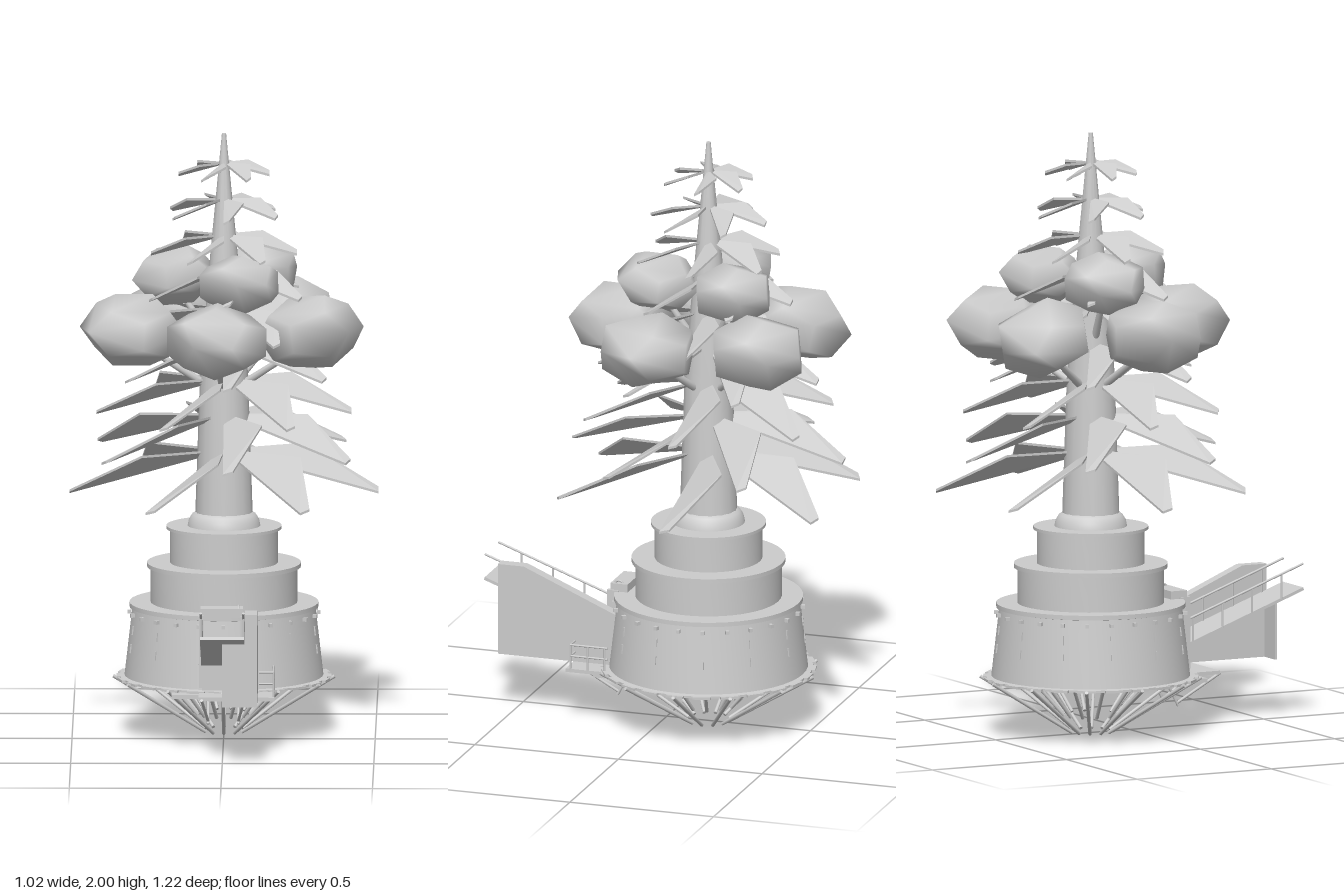
import * as THREE from 'three';
import { toCreasedNormals, mergeVertices } from 'three/addons/utils/BufferGeometryUtils.js';
import { ConvexGeometry } from 'three/addons/geometries/ConvexGeometry.js';

const V = (x, y, z) => new THREE.Vector3(x, y, z);
const rad = THREE.MathUtils.degToRad;

export function createModel() {
  const model = new THREE.Group();
  const grey = new THREE.MeshStandardMaterial({ color: 0xcccccc });
  grey.name = 'stone grey';

  const add = (parent, name, geo, x = 0, y = 0, z = 0) => {
    const m = new THREE.Mesh(geo, grey);
    m.name = name;
    m.position.set(x, y, z);
    parent.add(m);
    return m;
  };
  const box = (parent, name, w, h, d, x, y, z) => add(parent, name, new THREE.BoxGeometry(w, h, d), x, y, z);
  const bar = (parent, name, a, b, r, r2 = r) => {
    const m = add(parent, name, new THREE.CylinderGeometry(r2, r, a.distanceTo(b), 8));
    m.position.copy(a).lerp(b, 0.5);
    m.quaternion.setFromUnitVectors(V(0, 1, 0), b.clone().sub(a).normalize());
    return m;
  };
  const lathe = (parent, name, pts, seg) => add(parent, name,
    toCreasedNormals(new THREE.LatheGeometry(pts.map(p => new THREE.Vector2(...p)), seg), 0.6));

  // Everything round stands on one axis, behind the centre
  const tree = new THREE.Group();
  tree.name = 'tree';
  tree.position.z = -0.145;
  model.add(tree);
  // Point at angle a (degrees, 0 = +x, 90 = back), distance r and height y
  const polar = (a, r, y) => V(Math.cos(rad(a)) * r, y, -Math.sin(rad(a)) * r);

  // Stepped drum base
  lathe(tree, 'steppedBase', [
    [0.001, 0.183], [0.345, 0.183], [0.345, 0.19], [0.328, 0.192], [0.302, 0.418], [0.312, 0.42], [0.312, 0.435],
    [0.242, 0.435], [0.242, 0.553], [0.254, 0.553], [0.254, 0.567],
    [0.178, 0.567], [0.178, 0.68], [0.19, 0.68], [0.19, 0.69],
    [0.12, 0.69], [0.116, 0.71], [0.105, 0.728], [0.09, 0.737], [0.001, 0.737],
  ], 48);

  // Trunk
  lathe(tree, 'trunk', [
    [0.095, 0.72], [0.079, 1.2], [0.045, 1.6], [0.024, 1.82], [0.007, 2], [0.0005, 2],
  ], 16);

  // Rim plates, studs and seams on the drum
  for (let i = 0; i < 24; i++) {
    const ring = new THREE.Group();
    ring.name = 'drumDetail';
    ring.rotation.y = rad(i * 15);
    tree.add(ring);
    box(ring, 'rimPlate', 0.04, 0.008, 0.06, 0.335, 0.186, 0);
    box(ring, 'stud', 0.014, 0.012, 0.012, 0.312, 0.4, 0);
    if (i % 2) for (const y of [0.29, 0.35]) {
      const s = box(ring, 'seam', 0.006, 0.03, 0.006, 0.329 - (y - 0.192) * 0.115, y, 0);
      s.rotation.z = 0.115;
    }
  }

  // Splayed struts under the drum
  for (let i = 0; i < 12; i++) {
    const a = i * 30;
    bar(tree, 'outerStrut', polar(a, 0.07, 0.005), polar(a, 0.365, 0.186), 0.006);
    bar(tree, 'innerStrut', polar(a + 15, 0.09, 0.06), polar(a + 15, 0.2, 0.185), 0.006);
  }

  // Nine tiers of one-sided, drooping blades
  for (let k = 0; k < 9; k++) {
    const y = 0.94 + 0.12 * k, r = 0.51 - 0.045 * k, drop = 0.14 - 0.0125 * k;
    const pts = [];
    for (const t of [-0.004, 0.004]) pts.push(
      V(0.02, y - 0.005 + t, 0), V(0.02, y + t, -0.012),
      V(0.53 * r, y + t, -0.02 - 0.23 * r),
      V(r, y - drop + 0.01 + t, -0.01 - 0.05 * r), V(r, y - drop + t, 0));
    const geo = new ConvexGeometry(pts);
    for (let i = 0; i < 6; i++)
      add(tree, 'leafBlade', geo).rotation.y = rad(i * 60 + (k % 2) * 30);
  }

  // Coarse foliage clumps with smooth shading, and their branches
  const coarse = new THREE.DodecahedronGeometry(1, 0);
  coarse.deleteAttribute('normal');
  coarse.deleteAttribute('uv');
  const clumpGeo = mergeVertices(coarse, 1e-3);
  clumpGeo.computeVertexNormals();
  const clumps = (n, start, r, y, size, height) => {
    for (let i = 0; i < n; i++) {
      const a = start + i * 360 / n, p = polar(a, r, y);
      const c = add(tree, 'foliageClump', clumpGeo, p.x, p.y, p.z);
      c.scale.set(size, height, size);
      c.rotation.set(0.12 * Math.sin(i * 2.1), rad(a), 0.12 * Math.cos(i * 1.7));
      bar(tree, 'branch', polar(a, 0.05, y - 0.2), polar(a, r * 0.9, y - 0.05), 0.014, 0.009);
    }
  };
  clumps(5, -22, 0.31, 1.355, 0.176, 0.128);
  clumps(3, -72, 0.165, 1.52, 0.145, 0.102);

  // Entrance: side wall with a sloping top, and a front plate below the ramp end
  const entrance = new THREE.Group();
  entrance.name = 'entrance';
  model.add(entrance);
  const side = new THREE.Shape([[-0.55, 0.195], [-0.13, 0.195], [-0.13, 0.365], [-0.46, 0.505], [-0.55, 0.505]]
    .map(p => new THREE.Vector2(...p)));
  const wall = add(entrance, 'sideWall', new THREE.ExtrudeGeometry(side, { depth: 0.04, bevelEnabled: false }), 0.075);
  wall.rotation.y = Math.PI / 2;
  box(entrance, 'frontPlate', 0.115, 0.21, 0.008, 0.0575, 0.3, 0.546);

  // Rising ramp with handrails
  const ramp = box(entrance, 'ramp', 0.145, 0.01, 0.475, 0, 0.355, 0.388);
  ramp.rotation.x = -0.35;
  for (const x of [-0.07, 0.07]) {
    bar(entrance, 'handrail', V(x, 0.36, 0.17), V(x, 0.52, 0.61), 0.004);
    for (let i = 0; i < 4; i++) {
      const z = 0.2 + i * 0.11, y = 0.355 + (z - 0.388) * 0.365;
      bar(entrance, 'railPost', V(x, y, z), V(x, y + 0.085, z), 0.0035);
    }
  }

  // Doorway
  box(entrance, 'lintel', 0.14, 0.03, 0.06, -0.005, 0.447, 0.145);
  for (const x of [-0.072, 0.065]) box(entrance, 'doorPost', 0.014, 0.24, 0.04, x, 0.32, 0.165);
  box(entrance, 'doorStep', 0.14, 0.09, 0.03, 0, 0.235, 0.17);
  add(entrance, 'lampRing', new THREE.TorusGeometry(0.014, 0.004, 6, 12), 0.05, 0.455, 0.15).rotation.y = Math.PI / 2;

  // Landing platform, railed along its open left side, with braces below
  box(entrance, 'platform', 0.25, 0.012, 0.17, 0.045, 0.18, 0.21);
  box(entrance, 'platformBeam', 0.34, 0.014, 0.2, 0, 0.172, 0.1);
  for (const y of [0.23, 0.268]) {
    bar(entrance, 'platformRail', V(0.167, y, 0.15), V(0.167, y, 0.28), 0.0035);
    bar(entrance, 'platformRail', V(0.167, y, 0.28), V(0.12, y, 0.28), 0.0035);
  }
  for (const z of [0.16, 0.22, 0.28])
    bar(entrance, 'platformPost', V(0.167, 0.18, z), V(0.167, 0.268, z), 0.0035);
  for (const s of [-1, 1]) {
    bar(entrance, 'platformBrace', V(s * 0.07, 0.177, 0.3), V(s * 0.05, 0.085, 0.15), 0.005);
    bar(entrance, 'braceHanger', V(s * 0.05, 0.075, 0.155), V(s * 0.05, 0.18, 0.1), 0.005);
  }
  return model;
}
